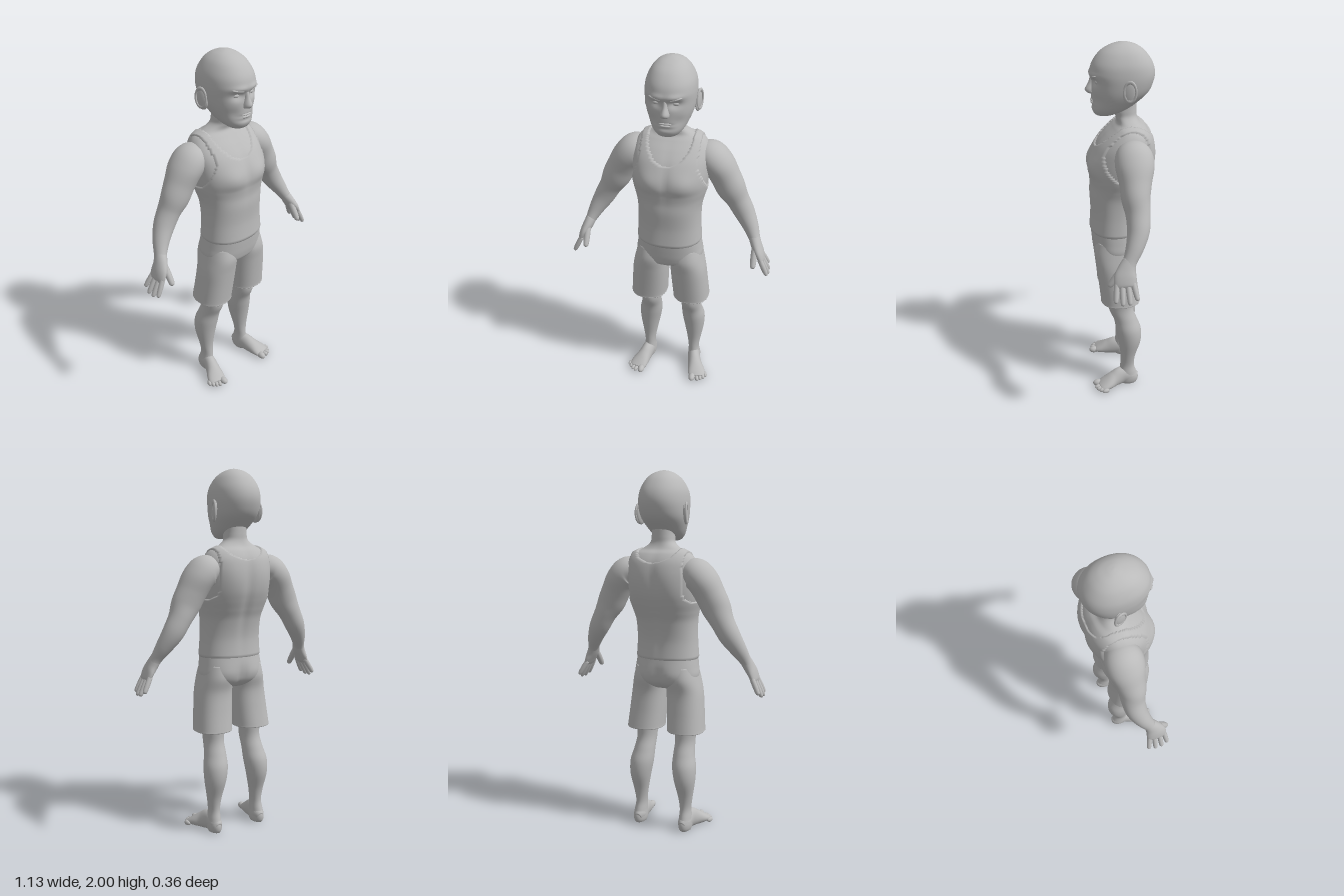
import * as THREE from 'three';

const clay = new THREE.MeshStandardMaterial({ color: 0xbababa });
clay.name = 'clay grey';

const V = (x, y, z) => new THREE.Vector3(x, y, z);
const bump = (d, r) => Math.exp(-(d * d) / (r * r));

// Catmull-Rom value of every column between row i and i + 1
function between(rows, i, f) {
  const at = k => rows[Math.min(rows.length - 1, Math.max(0, k))];
  const [p, q, r, s] = [at(i - 1), at(i), at(i + 1), at(i + 2)];
  return q.map((_, k) => {
    const m = (r[k] - p[k]) / 2, n = (s[k] - q[k]) / 2, d = r[k] - q[k];
    return q[k] + f * (m + f * (3 * d - 2 * m - n + f * (m + n - 2 * d)));
  });
}

// Smooth closed loft through rows of [x, y, z, radiusU, radiusV].
// flat: level rings; otherwise rings follow the path and ref gives the V direction.
function loft(rows, { seg = 28, steps = 6, flat = false, ref = V(0, 0, 1), n = 2, offset, floor } = {}) {
  const path = [];
  for (let i = 0; i < rows.length - 1; i++)
    for (let k = 0; k < steps; k++) path.push(between(rows, i, k / steps));
  path.push(rows[rows.length - 1]);
  const pos = [], idx = [], last = path.length - 1;
  const point = r => V(r[0], r[1], r[2]);
  const power = c => Math.sign(c) * Math.abs(c) ** (2 / n);
  path.forEach((r, i) => {
    const t = flat ? V(0, Math.sign(path[last][1] - path[0][1]), 0)
      : point(path[Math.min(last, i + 1)]).sub(point(path[Math.max(0, i - 1)])).normalize();
    const v = ref.clone().addScaledVector(t, -ref.dot(t)).normalize();
    const u = t.clone().cross(v);
    for (let j = 0; j < seg; j++) {
      const a = (j / seg) * Math.PI * 2;
      const p = point(r).addScaledVector(u, Math.max(r[3], 0.001) * power(Math.cos(a)))
        .addScaledVector(v, Math.max(r[4], 0.001) * power(Math.sin(a)));
      if (floor !== undefined) p.y = Math.max(floor, p.y);
      pos.push(p.x, p.y, p.z);
      if (i < last) {
        const A = i * seg + j, B = A + seg, C = i * seg + (j + 1) % seg, D = C + seg;
        idx.push(A, B, C, C, B, D);
      }
    }
  });
  const s = pos.length / 3, base = last * seg;
  pos.push(...path[0].slice(0, 3), ...path[last].slice(0, 3));
  for (let j = 0; j < seg; j++) {
    const k = (j + 1) % seg;
    idx.push(s, j, k, s + 1, base + k, base + j);
  }
  const geo = new THREE.BufferGeometry();
  geo.setAttribute('position', new THREE.Float32BufferAttribute(pos, 3));
  geo.setIndex(idx);
  geo.computeVertexNormals();
  if (offset) {
    const P = geo.attributes.position, N = geo.attributes.normal, p = V(0, 0, 0), q = V(0, 0, 0);
    for (let i = 0; i < P.count; i++) {
      p.fromBufferAttribute(P, i);
      q.fromBufferAttribute(N, i);
      p.addScaledVector(q, offset(p));
      P.setXYZ(i, p.x, p.y, p.z);
    }
    geo.computeVertexNormals();
  }
  return geo;
}

// [y, halfWidth, frontZ, backZ] to a loft row
const level = ([y, w, f, b]) => [0, y, (f + b) / 2, w, (f - b) / 2];

export function createModel() {
  const model = new THREE.Group();
  const add = (name, geo) => {
    const m = new THREE.Mesh(geo, clay);
    m.name = name;
    model.add(m);
    return m;
  };
  const ball = (name, x, y, z, sx, sy, sz) => {
    const m = add(name, new THREE.SphereGeometry(1, 20, 14));
    m.position.set(x, y, z);
    m.scale.set(sx, sy, sz);
    return m;
  };
  // Finger or toe with a rounded tip
  const digit = (name, a, b, r) => {
    const at = (f, k) => [...a.clone().lerp(b, f).toArray(), r * k, r * k];
    add(name, loft([at(0, 1), at(0.45, 1.05), at(0.85, 0.9), at(0.96, 0.62), at(1, 0.1)], { seg: 12, steps: 3 }));
  };

  // Torso, neck and the close-fitting vest over them
  const torso = [
    [0.995, 0.172, 0.161, -0.098], [1.1, 0.165, 0.154, -0.094], [1.2, 0.166, 0.158, -0.112],
    [1.26, 0.178, 0.156, -0.134], [1.31, 0.192, 0.16, -0.153], [1.36, 0.2, 0.165, -0.167],
    [1.42, 0.204, 0.152, -0.173], [1.48, 0.204, 0.122, -0.171], [1.53, 0.192, 0.08, -0.16],
    [1.57, 0.162, 0.038, -0.135], [1.595, 0.11, 0.016, -0.105], [1.625, 0.07, 0.022, -0.09],
    [1.66, 0.062, 0.032, -0.087], [1.72, 0.06, 0.03, -0.085]].map(level);
  const muscle = p => p.z > 0
    ? 0.012 * bump(Math.abs(p.x) - 0.085, 0.06) * bump(p.y - 1.38, 0.05) - 0.004 * bump(p.x, 0.02) * bump(p.y - 1.4, 0.12)
    : 0.007 * bump(Math.abs(p.x) - 0.09, 0.06) * bump(p.y - 1.43, 0.09) - 0.008 * bump(p.x, 0.025) * bump(p.y - 1.3, 0.22);
  const bare = p => {
    const neck = Math.hypot(p.x / 0.115, Math.min(0, p.y - 1.6) / (p.z > -0.04 ? 0.13 : 0.075)) < 1;
    const arm = Math.abs(p.x) > 0.155 && Math.hypot((p.z + 0.035) / 0.125, (p.y - 1.45) / 0.135) < 1;
    return neck || arm || p.y > 1.6;
  };
  const dense = { seg: 96, steps: 10, flat: true, n: 2.25 };
  add('torsoAndNeck', loft(torso.slice(3), { ...dense, offset: muscle }));
  add('vest', loft(torso, { ...dense, offset: p => muscle(p) + (bare(p) ? -0.006 : 0.007) }));

  // Head with brow, eye sockets, cheeks and mouth
  const head = [
    [1.632, 0.03, 0.115, 0.05], [1.641, 0.055, 0.13, 0.02], [1.665, 0.08, 0.143, -0.04],
    [1.7, 0.1, 0.145, -0.09], [1.75, 0.119, 0.145, -0.145], [1.8, 0.127, 0.146, -0.17],
    [1.85, 0.128, 0.152, -0.178], [1.9, 0.119, 0.14, -0.165], [1.95, 0.093, 0.103, -0.13],
    [1.98, 0.062, 0.058, -0.09], [1.995, 0.03, 0.015, -0.048], [2, 0.004, -0.01, -0.02]].map(level);
  add('head', loft(head, {
    seg: 72, steps: 8, flat: true, n: 2.2,
    offset: p => {
      if (p.z < 0.05) return 0;
      const ax = Math.abs(p.x);
      return -0.016 * bump(ax - 0.047, 0.03) * bump(p.y - 1.812, 0.02)
        + 0.008 * bump(ax - 0.04, 0.04) * bump(p.y - 1.848, 0.014)
        - 0.006 * bump(ax - 0.065, 0.03) * bump(p.y - 1.72, 0.03)
        - 0.006 * bump(p.x, 0.035) * bump(p.y - 1.707, 0.006)
        - 0.005 * bump(p.x, 0.04) * bump(p.y - 1.685, 0.01);
    },
  }));
  add('nose', loft([[0, 1.835, 0.135, 0.01, 0.014], [0, 1.8, 0.14, 0.013, 0.02], [0, 1.768, 0.143, 0.022, 0.034],
    [0, 1.752, 0.142, 0.022, 0.026], [0, 1.745, 0.138, 0.012, 0.014]], { seg: 20, flat: true }));
  ball('upperLip', 0, 1.713, 0.14, 0.032, 0.006, 0.01);
  ball('lowerLip', 0, 1.7, 0.139, 0.026, 0.007, 0.01);

  // Hips of the shorts
  add('shortsHips', loft([[1, 0.173, 0.163, -0.1], [0.95, 0.18, 0.159, -0.106], [0.9, 0.186, 0.153, -0.104],
    [0.86, 0.17, 0.14, -0.092], [0.83, 0.1, 0.1, -0.06], [0.815, 0.03, 0.05, -0.02]].map(level),
  { seg: 56, flat: true, n: 2.3,
    offset: p => (p.z < 0 ? 0.008 * bump(Math.abs(p.x) - 0.08, 0.06) * bump(p.y - 0.9, 0.05)
      - 0.01 * bump(p.x, 0.02) * bump(p.y - 0.88, 0.06) : 0) }));

  for (const s of [1, -1]) {
    const side = s > 0 ? 'left' : 'right';
    const flip = rows => rows.map(([x, ...rest]) => [x * s, ...rest]);

    // Face parts on each side
    ball(side + 'Eye', s * 0.047, 1.812, 0.112, 0.021, 0.013, 0.017);
    ball(side + 'Brow', s * 0.05, 1.84, 0.137, 0.034, 0.007, 0.011).rotation.set(0, s * 0.3, s * 0.2);
    ball(side + 'Ear', s * 0.13, 1.775, -0.035, 0.011, 0.056, 0.033).rotation.set(-0.15, -s * 0.3, 0);
    const rim = add(side + 'EarRim', new THREE.TorusGeometry(0.03, 0.006, 8, 28));
    rim.position.set(s * 0.137, 1.78, -0.038);
    rim.scale.set(1, 1.6, 1);
    rim.rotation.set(0, Math.PI / 2 - s * 0.3, 0);

    // Leg of the shorts, with a turned-in hem
    add(side + 'ShortsLeg', loft(flip([
      [0.092, 0.95, 0.025, 0.08, 0.11], [0.097, 0.88, 0.028, 0.092, 0.122], [0.107, 0.8, 0.032, 0.1, 0.11],
      [0.115, 0.7, 0.023, 0.103, 0.108], [0.123, 0.6, 0.011, 0.104, 0.11], [0.124, 0.584, 0.01, 0.105, 0.111],
      [0.124, 0.58, 0.01, 0.1, 0.106], [0.124, 0.585, 0.01, 0.094, 0.1], [0.122, 0.63, 0.012, 0.09, 0.096]]),
    { seg: 44, flat: true, n: 2.3 }));

    // Leg with knee, calf and ankle
    add(side + 'Leg', loft(flip([
      [0.115, 0.75, 0.015, 0.075, 0.08], [0.12, 0.6, 0.01, 0.062, 0.07], [0.12, 0.52, 0.008, 0.056, 0.068],
      [0.124, 0.45, -0.018, 0.06, 0.066], [0.132, 0.38, -0.037, 0.067, 0.072], [0.138, 0.3, -0.043, 0.06, 0.065],
      [0.14, 0.2, -0.034, 0.042, 0.044], [0.14, 0.13, -0.029, 0.032, 0.041], [0.142, 0.08, -0.032, 0.035, 0.05],
      [0.143, 0.045, -0.036, 0.038, 0.058], [0.143, 0.018, -0.036, 0.036, 0.057], [0.143, 0.002, -0.036, 0.03, 0.048]]),
    { seg: 32, flat: true }));

    // Foot turned outward, flat underneath
    add(side + 'Foot', loft(flip([
      [0.14, 0.035, -0.085, 0.02, 0.025], [0.142, 0.045, -0.055, 0.036, 0.044], [0.148, 0.055, 0, 0.037, 0.058],
      [0.162, 0.042, 0.05, 0.042, 0.048], [0.178, 0.03, 0.09, 0.051, 0.034], [0.189, 0.022, 0.12, 0.051, 0.022],
      [0.194, 0.018, 0.138, 0.04, 0.014]]), { ref: V(0, 1, 0), floor: 0 }));
    ball(side + 'BigToe', s * 0.162, 0.02, 0.148, 0.02, 0.02, 0.03);
    [[0.193, 0.148], [0.211, 0.139], [0.226, 0.124], [0.238, 0.106]].forEach(([x, z], i) => {
      ball(side + 'Toe' + (i + 2), s * x, 0.015, z, 0.012, 0.014, 0.022).rotation.y = s * 0.35;
    });

    // Arm from shoulder to wrist
    add(side + 'Arm', loft(flip([
      [0.14, 1.47, -0.05, 0.06, 0.07], [0.195, 1.467, -0.05, 0.084, 0.095], [0.243, 1.425, -0.05, 0.083, 0.098],
      [0.283, 1.355, -0.048, 0.08, 0.082], [0.316, 1.29, -0.046, 0.078, 0.073], [0.353, 1.222, -0.053, 0.063, 0.063],
      [0.393, 1.15, -0.05, 0.057, 0.057], [0.434, 1.08, -0.028, 0.044, 0.046], [0.464, 1.02, 0, 0.031, 0.036],
      [0.478, 0.99, 0.014, 0.028, 0.04]]), { seg: 36 }));

    // Hand, fingers and thumb
    add(side + 'Palm', loft(flip([
      [0.462, 1.025, 0, 0.03, 0.034], [0.48, 0.985, 0.018, 0.029, 0.045], [0.498, 0.95, 0.028, 0.025, 0.055],
      [0.514, 0.915, 0.03, 0.018, 0.054], [0.52, 0.902, 0.03, 0.01, 0.045]])));
    [[0.07, 0.08, 0.832], [0.044, 0.045, 0.82], [0.016, 0.008, 0.822], [-0.01, -0.03, 0.842]].forEach(([a, b, y], i) => {
      digit(side + 'Finger' + (i + 1), V(s * 0.507, 0.925, a), V(s * (0.553 + (i % 3 ? 0.008 : 0)), y, b), 0.0135);
    });
    digit(side + 'Thumb', V(s * 0.474, 0.985, 0.04), V(s * 0.474, 0.885, 0.108), 0.017);
  }
  return model;
}
